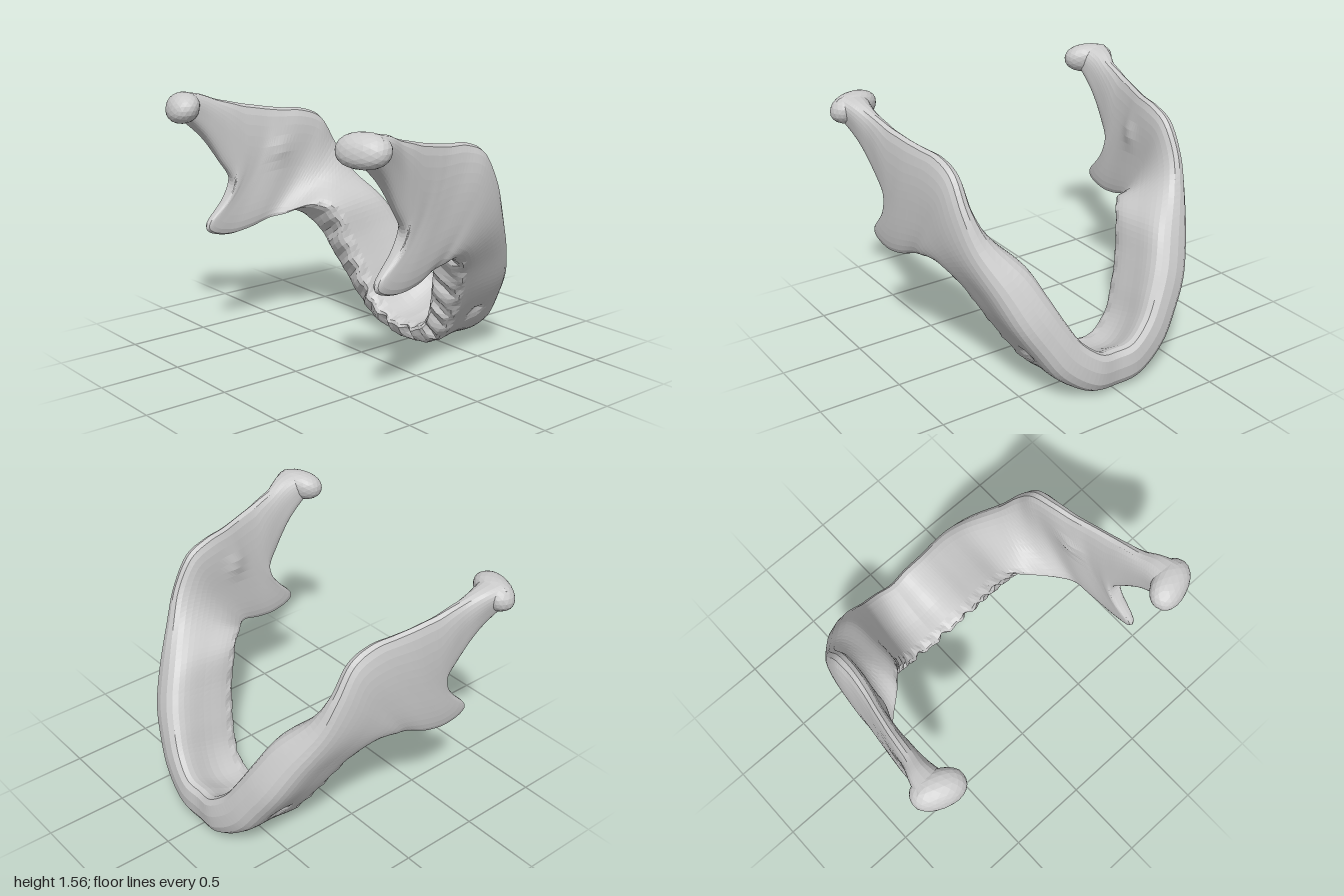
import * as THREE from 'three';
import { mergeVertices } from 'three/addons/utils/BufferGeometryUtils.js';

// Body sections, chin midline to jaw angle: lower border xyz, socket edge xyz, 3 half thicknesses, outward angle
const BODY = [
  [0, 0.165, -0.785, 0, 0.07, -0.315, 0.2, 0.08, 0.095, 0],
  [0.14, 0.19, -0.795, 0.16, 0.09, -0.315, 0.2, 0.085, 0.095, 14],
  [0.29, 0.3, -0.77, 0.3, 0.18, -0.29, 0.19, 0.1, 0.11, 35],
  [0.39, 0.445, -0.735, 0.395, 0.34, -0.25, 0.18, 0.115, 0.13, 47],
  [0.48, 0.6, -0.685, 0.48, 0.525, -0.195, 0.18, 0.13, 0.15, 55],
  [0.565, 0.78, -0.595, 0.555, 0.72, -0.125, 0.165, 0.14, 0.185, 60],
  [0.68, 0.98, -0.46, 0.635, 0.79, -0.025, 0.11, 0.12, 0.165, 68],
  [0.73, 1.17, -0.37, 0.72, 0.755, 0.08, 0.078, 0.085, 0.095, 80],
];

// Ramus sections fanning from the back border to the front edge: border, middle, edge, half thickness
const RAMUS = [
  [0.735, 1.35, -0.26, 0.755, 1.05, -0.08, 0.757, 0.735, 0.16, 0.06],
  [0.743, 1.415, -0.12, 0.77, 1.05, 0.08, 0.782, 0.69, 0.28, 0.054],
  [0.765, 1.43, 0.02, 0.788, 1.03, 0.2, 0.795, 0.67, 0.42, 0.048],
  [0.787, 1.445, 0.12, 0.795, 1.02, 0.26, 0.8, 0.7, 0.55, 0.045],
  [0.803, 1.46, 0.2, 0.797, 1.04, 0.3, 0.8, 0.76, 0.57, 0.045],
  [0.818, 1.475, 0.28, 0.8, 1.08, 0.33, 0.795, 0.88, 0.46, 0.048],
  [0.83, 1.495, 0.36, 0.81, 1.2, 0.365, 0.8, 1.0, 0.385, 0.05],
  [0.845, 1.52, 0.46, 0.825, 1.32, 0.45, 0.815, 1.14, 0.46, 0.054],
  [0.868, 1.555, 0.55, 0.845, 1.42, 0.555, 0.83, 1.29, 0.56, 0.07],
  [0.875, 1.575, 0.65, 0.86, 1.49, 0.67, 0.85, 1.41, 0.68, 0.095],
];

// Hollows (positive depth) and bumps (negative): centre, radius, depth, side (1 outer, -1 inner)
const DENTS = [
  { at: new THREE.Vector3(0.44, 0.3, -0.52), r: 0.035, depth: 0.05, side: 1 },
  { at: new THREE.Vector3(0.7, 1.18, 0.08), r: 0.07, depth: -0.02, side: -1 },
  { at: new THREE.Vector3(0.1, 0.24, -0.53), r: 0.16, depth: 0.02, side: -1 },
];

// All sections in one layout: 9 coordinates, 3 half thicknesses, angle
const HALF = [
  ...BODY.map((s) => {
    const mid = [0, 1, 2].map((k) => (s[k] + s[k + 3]) / 2);
    return [...s.slice(0, 3), ...mid, ...s.slice(3)];
  }),
  ...RAMUS.map((s) => [...s.slice(0, 9), s[9] * 1.25, s[9] * 1.05, s[9] * 0.95, 90]),
];
const LAST = HALF.length - 1;

// Section at a whole index; negative indices mirror to the other side
function sectionAt(i) {
  const s = HALF[Math.min(Math.abs(i), LAST)];
  return i < 0 ? s.map((v, k) => ([0, 3, 6, 12].includes(k) ? -v : v)) : s;
}

// Smooth blend between neighbouring sections
function blend(u) {
  const i = Math.min(Math.floor(u), LAST - 1), f = u - i;
  const [a, b, c, d] = [i - 1, i, i + 1, i + 2].map(sectionAt);
  return b.map((p, k) => p + 0.5 * f * (c[k] - a[k]
    + f * (2 * a[k] - 5 * p + 4 * c[k] - d[k] + f * (3 * (p - c[k]) + d[k] - a[k]))));
}

// Quadratic through three values at t = 0, 0.5 and 1
const quad = (a, m, b, t) => a * (1 - t) * (1 - 2 * t) + m * 4 * t * (1 - t) + b * t * (2 * t - 1);
const power = (v, e) => Math.sign(v) * Math.abs(v) ** e;

function jawPoint(u, angle) {
  const s = blend(u);
  // Section rounder at the lower border than at the socket edge, points spread evenly over its flanks
  const theta = angle + 0.25 * Math.sin(2 * angle);
  const e = Math.cos(theta) > 0 ? 0.78 : 0.65;
  const t = 0.5 - 0.5 * power(Math.cos(theta), e);
  const v = power(Math.sin(theta), e);
  const phi = THREE.MathUtils.degToRad(s[12]);
  const out = new THREE.Vector3(Math.sin(phi), -Math.cos(phi), 0);
  const along = new THREE.Vector3(s[6] - s[0], s[7] - s[1], s[8] - s[2]).normalize();
  const p = new THREE.Vector3(...[0, 1, 2].map((k) => quad(s[k], s[k + 3], s[k + 6], t)));
  p.addScaledVector(out, v * quad(s[9], s[10], s[11], t));

  // Socket edge slopes back on its outer side
  p.addScaledVector(along, -0.05 * Math.cos(phi) * v * Math.max(0, 2 * t - 1) ** 2);

  // Row of shallow, uneven tooth sockets along the upper edge
  if (Math.abs(u) < 5.8 && t > 0.85) {
    const wave = Math.sin((Math.PI * u) / 0.7) ** 2;
    const depth = 0.03 + 0.02 * Math.sin(u * 5);
    p.addScaledVector(along, -depth * wave * Math.max(0, 1 - (v / 0.8) ** 2));
    p.addScaledVector(out, v * 0.015 * (wave - 0.5));
  }
  for (const h of DENTS) {
    if (v * h.side <= 0.2) continue;
    const d = Math.hypot(Math.abs(p.x) - h.at.x, p.y - h.at.y, p.z - h.at.z);
    p.addScaledVector(out, -h.side * h.depth * Math.exp(-((d / h.r) ** 2)));
  }
  return p;
}

// One continuous loft from condyle neck to condyle neck
function jawGeometry() {
  const ring = 32, perSection = 6, rows = 2 * LAST * perSection;
  const pos = [], index = [];
  for (let i = 0; i <= rows; i++) {
    for (let j = 0; j < ring; j++) {
      pos.push(...jawPoint(i / perSection - LAST, (j / ring) * Math.PI * 2).toArray());
    }
  }
  for (let i = 0; i < rows; i++) {
    for (let j = 0; j < ring; j++) {
      const a = i * ring + j, b = i * ring + ((j + 1) % ring);
      index.push(a, a + ring, b, b, a + ring, b + ring);
    }
  }
  const g = new THREE.BufferGeometry();
  g.setAttribute('position', new THREE.Float32BufferAttribute(pos, 3));
  g.setIndex(index);
  g.computeVertexNormals();
  return g;
}

// Rounded joint head, leaning back towards the neck at its top
function condyleGeometry() {
  let g = new THREE.IcosahedronGeometry(1, 3);
  g.deleteAttribute('uv');
  g.deleteAttribute('normal');
  g = mergeVertices(g);
  const p = g.attributes.position;
  for (let i = 0; i < p.count; i++) {
    const [x, y, z] = [p.getX(i), p.getY(i), p.getZ(i)].map((v) => power(v, 0.9));
    p.setXYZ(i, x * 0.155, y * 0.092, z * 0.097 - y * 0.015);
  }
  g.computeVertexNormals();
  return g;
}

export function createModel() {
  const group = new THREE.Group();
  group.name = 'lowerJawBone';
  const bone = new THREE.MeshStandardMaterial({ color: 0xcccccc, flatShading: true, side: THREE.DoubleSide });

  const jaw = new THREE.Mesh(jawGeometry(), bone);
  jaw.name = 'jawBodyAndRami';
  group.add(jaw);

  for (const side of [1, -1]) {
    const condyle = new THREE.Mesh(condyleGeometry(), bone);
    condyle.name = side > 0 ? 'leftCondyle' : 'rightCondyle';
    condyle.position.set(side * 0.846, 1.488, 0.687);
    condyle.rotation.y = side * 0.35;
    group.add(condyle);
  }
  return group;
}
